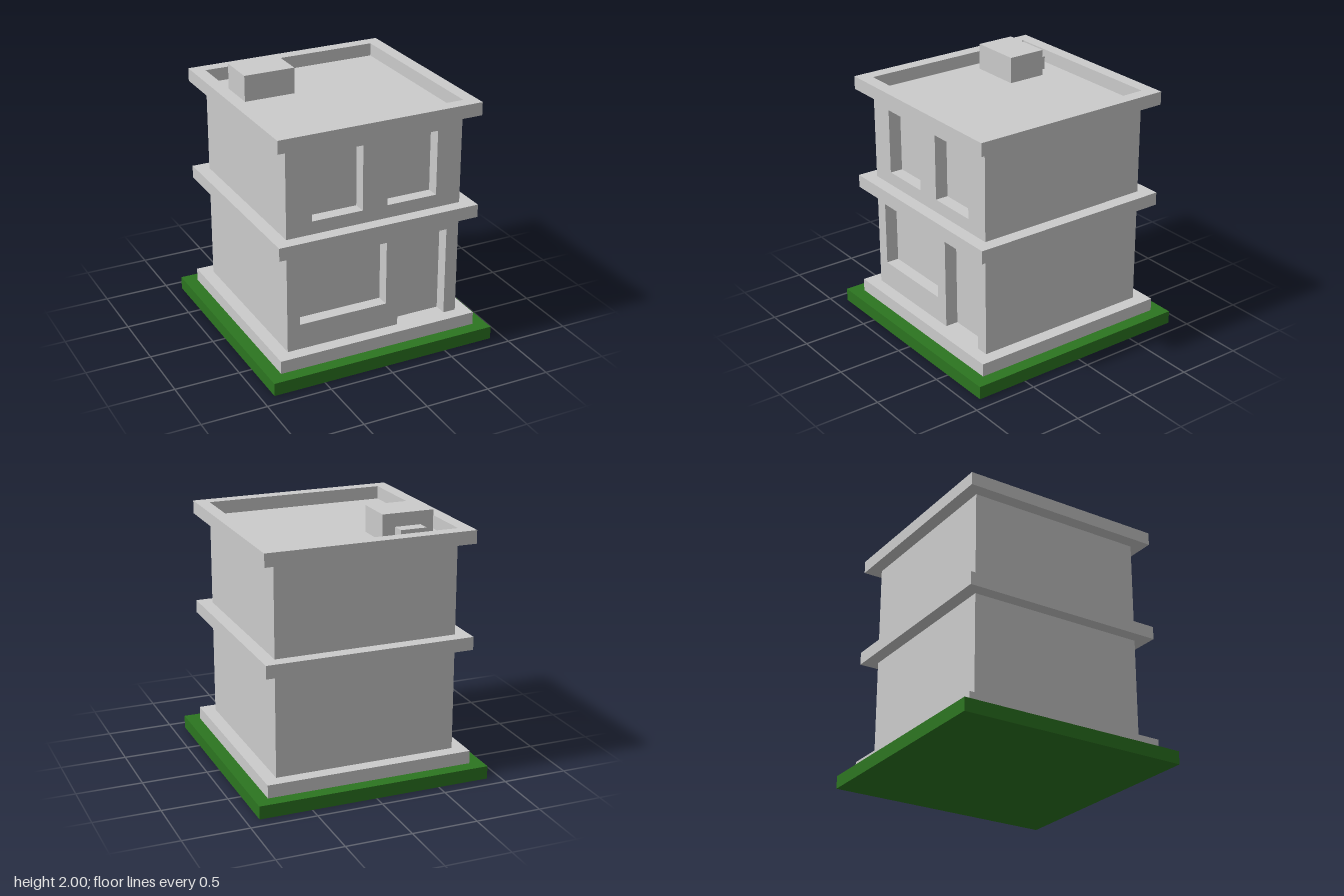
import * as THREE from 'three';

const grey = new THREE.MeshStandardMaterial({ color: 0xcccccc, flatShading: true });
const green = new THREE.MeshStandardMaterial({ color: 0x2c7520, flatShading: true });

// Box given by its minimum and maximum corners
function box(name, [x0, y0, z0], [x1, y1, z1], material = grey) {
  const mesh = new THREE.Mesh(new THREE.BoxGeometry(x1 - x0, y1 - y0, z1 - z0), material);
  mesh.position.set((x0 + x1) / 2, (y0 + y1) / 2, (z0 + z1) / 2);
  mesh.name = name;
  return mesh;
}

function rectPath(PathType, x0, y0, x1, y1) {
  return new PathType([[x0, y0], [x1, y0], [x1, y1], [x0, y1]].map(p => new THREE.Vector2(...p)));
}

function extrude(name, shape, depth) {
  const mesh = new THREE.Mesh(new THREE.ExtrudeGeometry(shape, { depth, bevelEnabled: false }), grey);
  mesh.name = name;
  return mesh;
}

const W = 0.7;        // half width of the walls
const S = 0.8;        // half width of the slabs
const RECESS = 0.1;   // depth of the door and windows

// Solid storey with a front wall laid over it, so openings read as recesses
function storey(name, y0, y1, frontShape, windows) {
  const group = new THREE.Group();
  group.name = name;
  for (const w of windows) frontShape.holes.push(rectPath(THREE.Path, ...w));
  const front = extrude(name + 'FrontWall', frontShape, RECESS);
  front.position.z = W - RECESS;
  group.add(box(name + 'Core', [-W, y0, -W], [W, y1, W - RECESS]), front);
  return group;
}

export function createModel() {
  const model = new THREE.Group();
  model.name = 'house';

  // Lawn, plinth and the ledge between storeys
  model.add(
    box('lawn', [-0.9, 0, -0.9], [0.9, 0.1, 0.9], green),
    box('plinth', [-S, 0.1, -S], [S, 0.2, S]),
    box('floorLedge', [-S, 1, -S], [S, 1.1, S])
  );

  // Ground floor: doorway notch reaching the plinth, and a wide window
  const groundFront = new THREE.Shape([
    [-W, 0.2], [0.2, 0.2], [0.2, 0.9], [0.6, 0.9], [0.6, 0.2], [W, 0.2], [W, 1], [-W, 1],
  ].map(p => new THREE.Vector2(...p)));
  model.add(storey('groundFloor', 0.2, 1, groundFront, [[-0.6, 0.4, 0.1, 0.9]]));

  // Upper floor: two windows
  const upperFront = rectPath(THREE.Shape, -W, 1.1, W, 1.8);
  model.add(storey('upperFloor', 1.1, 1.8, upperFront,
    [[-0.5, 1.2, -0.1, 1.7], [0.1, 1.2, 0.5, 1.7]]));

  // Parapet ring around the flat roof
  const ring = rectPath(THREE.Shape, -S, -S, S, S);
  ring.holes.push(rectPath(THREE.Path, -W, -W, W, W));
  const parapet = extrude('parapet', ring, 0.1);
  parapet.rotation.x = -Math.PI / 2;
  parapet.position.y = 1.8;
  model.add(parapet);

  // Rooftop unit with a small box behind it
  model.add(
    box('roofUnit', [-0.6, 1.8, -0.5], [-0.2, 2, -0.2]),
    box('roofUnitDuct', [-0.5, 1.8, -0.6], [-0.3, 1.9, -0.5])
  );
  return model;
}
